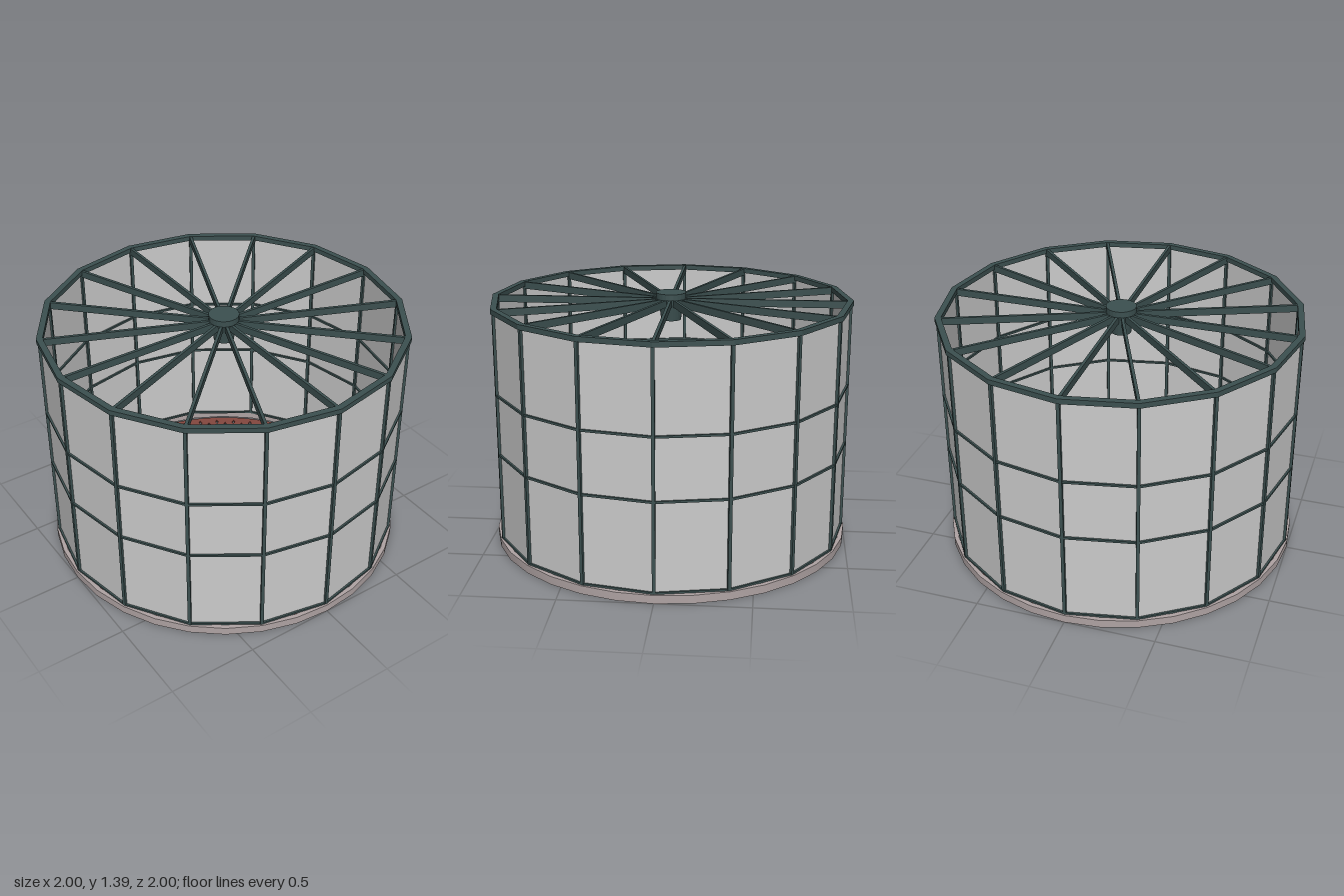
import * as THREE from 'three';
import { mergeGeometries, toCreasedNormals } from 'three/addons/utils/BufferGeometryUtils.js';

const SIDES = 16;
const STEP = (Math.PI * 2) / SIDES;
const R = 0.98;

const frameMat = new THREE.MeshStandardMaterial({ color: 0x3c5050, flatShading: true });
const paneMat = new THREE.MeshStandardMaterial({ color: 0xcccccc, flatShading: true, side: THREE.DoubleSide });
const curbMat = new THREE.MeshStandardMaterial({ color: 0xb0a4a4, side: THREE.DoubleSide });
const grateMat = new THREE.MeshStandardMaterial({ color: 0x84483f, flatShading: true });

function addMesh(group, name, geometry, material) {
  const mesh = new THREE.Mesh(geometry, material);
  mesh.name = name;
  group.add(mesh);
  return mesh;
}

// Ring with a rectangular section; its corners start at +z
function ring(rIn, rOut, y0, y1, sides) {
  const profile = [[rOut, y0], [rOut, y1], [rIn, y1], [rIn, y0], [rOut, y0]];
  const geo = new THREE.LatheGeometry(profile.map(([r, y]) => new THREE.Vector2(r, y)), sides);
  return toCreasedNormals(geo, 0.5);
}

// Copies of one geometry turned around the y axis
function around(geo, count, step) {
  const copies = [];
  for (let i = 0; i < count; i++) copies.push(geo.clone().rotateY(i * step));
  return mergeGeometries(copies);
}

// One floor sector with two staggered columns of diamond holes
function grateSector(start, width) {
  const rIn = 0.455, rOut = 0.948, rows = 8;
  const at = (r, t) => new THREE.Vector2(Math.sin(t) * r, -Math.cos(t) * r);
  const end = start + width, mid = start + width / 2;
  const shape = new THREE.Shape([
    at(rIn, start), at(rOut, start), at(rOut, mid), at(rOut, end), at(rIn, end), at(rIn, mid),
  ]);
  for (let c = 0; c < 2; c++) {
    const t = start + width * (0.25 + 0.5 * c);
    for (let i = 0; i < rows; i++) {
      const r = 0.495 + 0.054 * (i + 0.5 * c);
      const w = 0.0105 / r;
      shape.holes.push(new THREE.Path([at(r - 0.021, t), at(r, t - w), at(r + 0.021, t), at(r, t + w)]));
    }
  }
  return new THREE.ExtrudeGeometry(shape, { depth: 0.012, bevelEnabled: false }).rotateX(-Math.PI / 2);
}

export function createModel() {
  const model = new THREE.Group();
  model.name = 'lanternRoom';

  // Round base curb
  addMesh(model, 'baseCurb', ring(0.975, 1, 0, 0.046, 32), curbMat);

  // Perforated floor, open at the front left for access
  const gap = THREE.MathUtils.degToRad(38.5);
  const sectors = 46;
  const width = (Math.PI * 2 - gap) / sectors;
  addMesh(model, 'perforatedFloor', around(grateSector(gap, width), sectors, width), grateMat);

  // Sixteen flat wall panes
  const panes = new THREE.CylinderGeometry(R, R, 1.29, SIDES, 1, true).translate(0, 0.695, 0);
  addMesh(model, 'wallPanes', panes, paneMat);

  // Upright posts at the corners
  const post = new THREE.BoxGeometry(0.018, 1.29, 0.026).translate(0, 0.695, R);
  addMesh(model, 'posts', around(post, SIDES, STEP), frameMat);

  // Horizontal glazing bars
  for (const y of [0.05, 0.545, 0.885]) {
    addMesh(model, 'glazingBar', ring(R - 0.011, R + 0.011, y - 0.006, y + 0.006, SIDES), frameMat);
  }

  // Top rim
  addMesh(model, 'topRim', ring(0.966, 1, 1.335, 1.363, SIDES), frameMat);

  // Roof spokes
  const spoke = new THREE.BoxGeometry(0.016, 0.04, 0.93).translate(0, 1.34, 0.515);
  addMesh(model, 'roofSpokes', around(spoke, SIDES, STEP), frameMat);

  // Centre hub and its cap
  const hub = new THREE.CylinderGeometry(0.07, 0.055, 0.12, 24).translate(0, 1.3, 0);
  addMesh(model, 'hub', hub, frameMat);
  const cap = new THREE.CylinderGeometry(0.083, 0.083, 0.034, 24).translate(0, 1.376, 0);
  addMesh(model, 'hubCap', cap, frameMat);

  return model;
}
